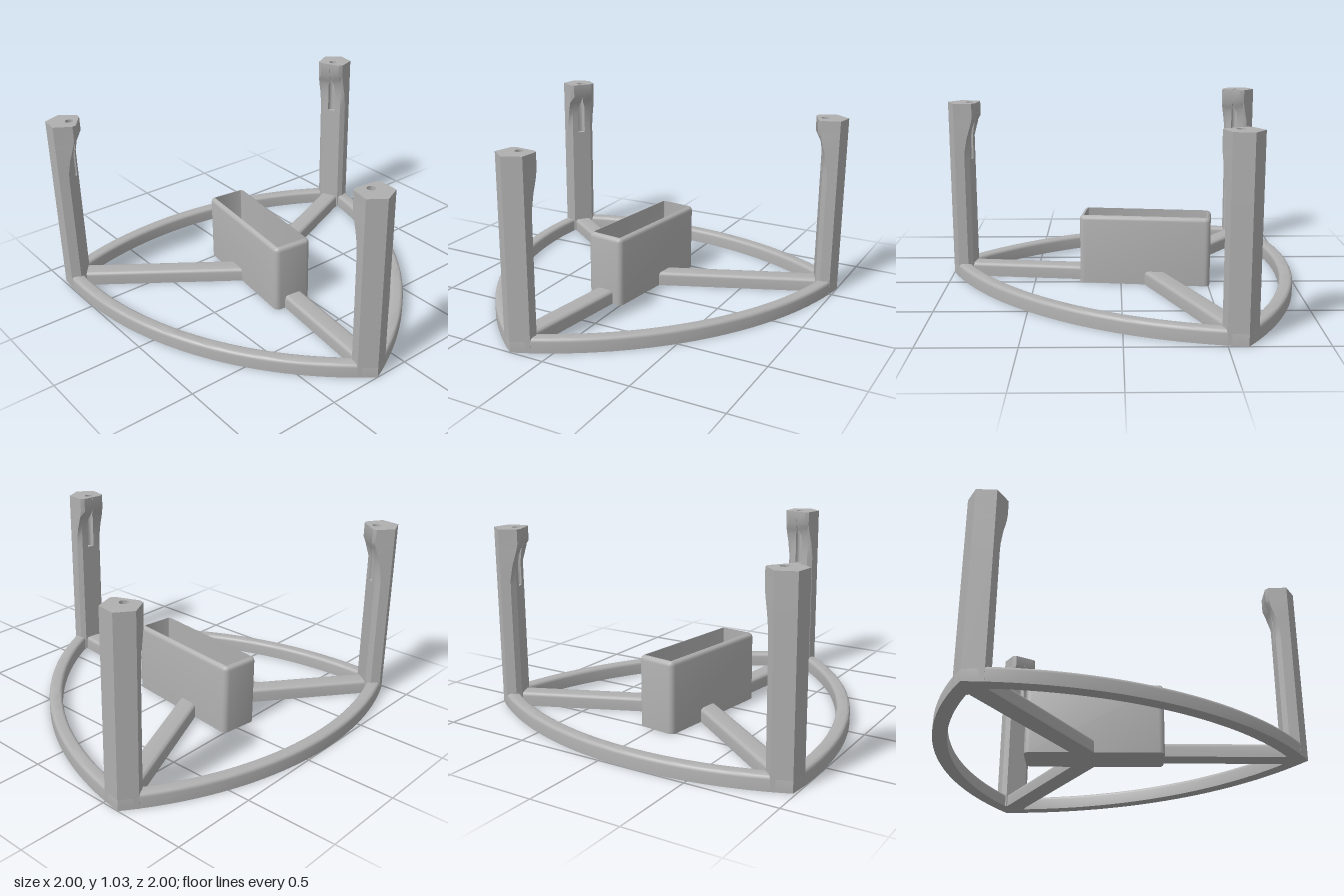
import * as THREE from 'three';
import { toCreasedNormals } from 'three/addons/utils/BufferGeometryUtils.js';

const grey = new THREE.MeshStandardMaterial({ color: 0xb0b0b0 });
grey.name = 'grey plastic';

const SIDE = 2;                       // curved triangle of constant width
const R = SIDE / Math.sqrt(3);        // hub to corner
const TURN = THREE.MathUtils.degToRad(6.8);

// Skin a row of matching 2D outlines; place(i, u, v) puts ring i in space.
function loft(name, outlines, place) {
  const n = outlines[0].length, pos = [], idx = [];
  outlines.forEach((o, i) => o.forEach(([u, v]) => pos.push(...place(i, u, v))));
  for (let i = 0; i < outlines.length - 1; i++) {
    for (let j = 0; j < n; j++) {
      const a = i * n + j, b = i * n + (j + 1) % n;
      idx.push(a, b, b + n, a, b + n, a + n);
    }
  }
  const cap = (o) => THREE.ShapeUtils.triangulateShape(o.map(([u, v]) => new THREE.Vector2(u, v)), []);
  const last = (outlines.length - 1) * n;
  cap(outlines[0]).forEach(([a, b, c]) => idx.push(a, c, b));
  cap(outlines[outlines.length - 1]).forEach(([a, b, c]) => idx.push(last + a, last + b, last + c));
  const g = new THREE.BufferGeometry();
  g.setAttribute('position', new THREE.Float32BufferAttribute(pos, 3));
  g.setIndex(idx);
  const mesh = new THREE.Mesh(toCreasedNormals(g, 0.6), grey);
  mesh.name = name;
  return mesh;
}

// Bar section: flat underneath, rounded top edges.
function barSection(u0, u1, h, r) {
  const pts = [[u0, 0], [u1, 0]];
  for (let k = 0; k <= 4; k++) {
    const t = k * Math.PI / 8;
    pts.push([u1 - r + r * Math.cos(t), h - r + r * Math.sin(t)]);
  }
  for (let k = 0; k <= 4; k++) {
    const t = Math.PI / 2 + k * Math.PI / 8;
    pts.push([u0 + r + r * Math.cos(t), h - r + r * Math.sin(t)]);
  }
  return pts;
}

function roundedRect(hx, hz, r) {
  const pts = [];
  [[1, 1], [-1, 1], [-1, -1], [1, -1]].forEach(([sx, sz], q) => {
    for (let k = 0; k <= 4; k++) {
      const t = q * Math.PI / 2 + k * Math.PI / 8;
      pts.push([sx * (hx - r) + r * Math.cos(t), sz * (hz - r) + r * Math.sin(t)]);
    }
  });
  return pts;
}

// Post section: pointed outside, with the screw hole cutting the inner face.
function postSection(inner, corner, cornerHalf, hole) {
  const c = 1.025, rad = 0.023;
  const t0 = Math.acos(Math.max((inner - c) / rad, -0.9999));
  const half = [[1.1, 0.09], [corner, cornerHalf], [inner, 0.062], [inner, hole * rad * Math.sin(t0)]];
  const arc = [];
  for (let k = 0; k <= 16; k++) {
    const t = t0 * (1 - k / 8);
    arc.push([inner + hole * (c + rad * Math.cos(t) - inner), hole * rad * Math.sin(t)]);
  }
  const mirrored = half.map(([r, s]) => [r, -s]).reverse();
  return [[R, 0], ...half, ...arc, ...mirrored];
}

function makePost() {
  // height, inner face, corner position, corner half width, hole open
  const rows = [
    [0, 1.02, 1.045, 0.086, 0], [0.7, 1.02, 1.045, 0.086, 0], [0.7, 1.02, 1.045, 0.086, 1],
    [0.75, 1.02, 1.043, 0.086, 1], [0.83, 1.02, 1.028, 0.086, 1],
    [0.88, 1.012, 1.012, 0.085, 1], [0.91, 1.003, 1.003, 0.084, 1],
    [0.95, 0.98, 0.995, 0.082, 1], [1.03, 0.98, 0.995, 0.082, 1],
  ];
  return loft('post', rows.map(([, ...p]) => postSection(...p)), (i, r, s) => [r, rows[i][0], -s]);
}

function makeSpoke() {
  const section = barSection(-0.055, 0.055, 0.078, 0.02);
  return loft('spoke', [section, section], (i, u, y) => [i ? 1.06 : 0, y, -u]);
}

// Rim arc on the far side, centred on the corner at +x.
function makeRimArc() {
  const steps = 32, section = barSection(SIDE - 0.075, SIDE, 0.08, 0.02);
  return loft('rimArc', Array(steps + 1).fill(section), (i, r, y) => {
    const t = Math.PI * (5 / 6 + i / steps / 3);
    return [R + r * Math.cos(t), y, r * Math.sin(t)];
  });
}

// Open-topped box: up the outside, over the rounded lip, down to the floor.
function makeBox() {
  const rows = [[0, 0], [0.375, 0], [0.385, 0.002], [0.393, 0.007], [0.398, 0.015],
    [0.4, 0.023], [0.08, 0.023]];
  return loft('openBox', rows.map(([, d]) => roundedRect(0.375 - d, 0.115 - d, 0.03 - d)),
    (i, u, v) => [u, rows[i][0], -v]);
}

export function createModel() {
  const group = new THREE.Group();
  group.name = 'threePostStand';
  const frame = new THREE.Group();
  frame.name = 'frame';
  frame.position.set(1 - R * Math.cos(TURN), 0, R * Math.cos(Math.PI / 6 - TURN) - 1);
  frame.rotation.y = -TURN;
  for (let k = 0; k < 3; k++) {
    const arm = new THREE.Group();
    arm.name = 'arm' + (k + 1);
    arm.rotation.y = k * Math.PI * 2 / 3;
    arm.add(makePost(), makeSpoke(), makeRimArc());
    frame.add(arm);
  }
  frame.add(makeBox());
  group.add(frame);
  return group;
}
